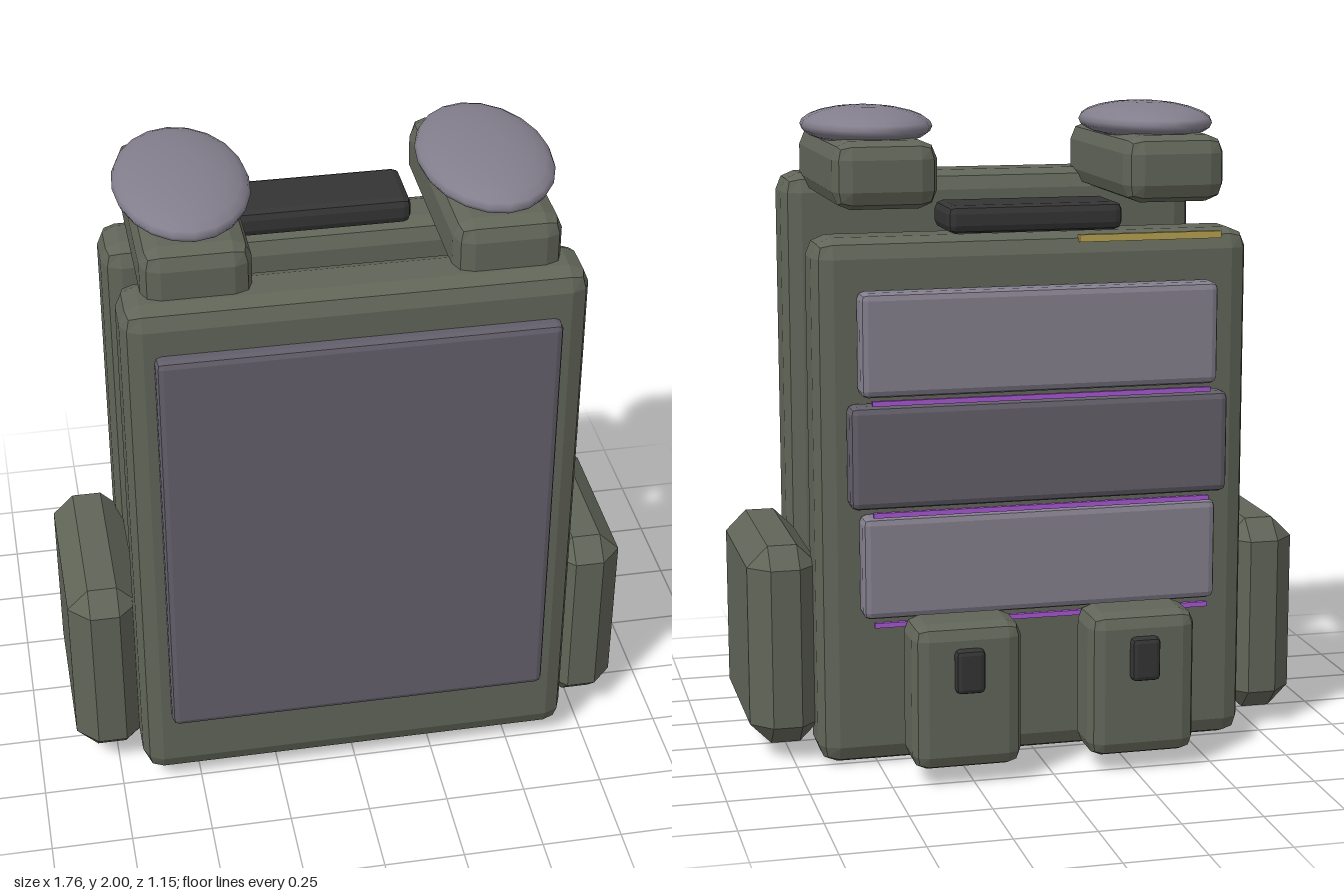
import * as THREE from 'three';
import { RoundedBoxGeometry } from 'three/addons/geometries/RoundedBoxGeometry.js';
import { ConvexGeometry } from 'three/addons/geometries/ConvexGeometry.js';

const material = (name, color) => {
  const m = new THREE.MeshStandardMaterial({ color });
  m.name = name;
  return m;
};

// Box with faceted two-step bevels
function bevelBox(w, h, d, r) {
  const g = new RoundedBoxGeometry(w, h, d, 1, r);
  g.computeVertexNormals();
  return g;
}

// Box with one flat chamfer on each edge
function chamferBox(w, h, d, c) {
  const points = [];
  for (const x of [-1, 1]) for (const y of [-1, 1]) for (const z of [-1, 1]) {
    for (let axis = 0; axis < 3; axis++) {
      const cut = [c, c, c];
      cut[axis] = 0;
      points.push(new THREE.Vector3(x * (w / 2 - cut[0]), y * (h / 2 - cut[1]), z * (d / 2 - cut[2])));
    }
  }
  return new ConvexGeometry(points);
}

export function createModel() {
  const model = new THREE.Group();
  model.name = 'armourVest';

  const olive = material('olive fabric', 0x616558);
  const plateGrey = material('dark plate grey', 0x625e69);
  const paleGrey = material('pale plate grey', 0x837e8c);
  const black = material('black rubber', 0x343434);
  const violet = material('violet glow', 0xa557cf);
  const yellow = material('yellow tag', 0xb5a050);

  const add = (name, geometry, mat, x, y, z) => {
    const mesh = new THREE.Mesh(geometry, mat);
    mesh.name = name;
    mesh.position.set(x, y, z);
    model.add(mesh);
    return mesh;
  };

  // Chest and back panels
  add('frontPanel', bevelBox(1.36, 1.72, 0.22, 0.06), olive, 0, 0.91, 0.42);
  add('backPanel', bevelBox(1.36, 1.63, 0.22, 0.06), olive, 0, 0.815, -0.17);
  add('chestPlate', bevelBox(1.18, 1.35, 0.08, 0.02), plateGrey, 0, 0.955, 0.533);

  // Paired parts on both sides
  for (const [side, s] of [['left', 1], ['right', -1]]) {
    add(`${side}ShoulderStrap`, bevelBox(0.32, 0.205, 0.72, 0.055), olive, s * 0.45, 1.812, 0.1);
    const pad = add(`${side}ShoulderPad`, new THREE.SphereGeometry(1, 20, 12), paleGrey, s * 0.45, 1.94, 0.1);
    pad.scale.set(0.2, 0.06, 0.325);
    add(`${side}SidePouch`, chamferBox(0.22, 0.63, 0.63, 0.065), olive, s * 0.77, 0.365, 0.103);
    add(`${side}BackPouch`, bevelBox(0.335, 0.45, 0.2, 0.045), olive, s * 0.272, 0.275, -0.443);
    add(`${side}PouchClip`, bevelBox(0.09, 0.135, 0.05, 0.015), black, s * 0.272, 0.363, -0.549);
  }

  // Back plates, each with a thin glowing strip below it
  for (let i = 0; i < 3; i++) {
    const y = 1.32 - i * 0.34;
    const middle = i === 1;
    add('backPlate', bevelBox(middle ? 1.18 : 1.11, 0.315, 0.09, 0.022),
      middle ? plateGrey : paleGrey, 0, y, -0.317);
    add('glowStrip', new THREE.BoxGeometry(1.05, 0.015, 0.015), violet, 0, y - 0.17, -0.368);
  }

  // Carry handle and tag along the top of the back panel
  add('carryHandle', bevelBox(0.545, 0.085, 0.22, 0.025), black, 0, 1.678, -0.17);
  add('tagStrip', new THREE.BoxGeometry(0.45, 0.022, 0.022), yellow, -0.36, 1.613, -0.267);

  return model;
}
